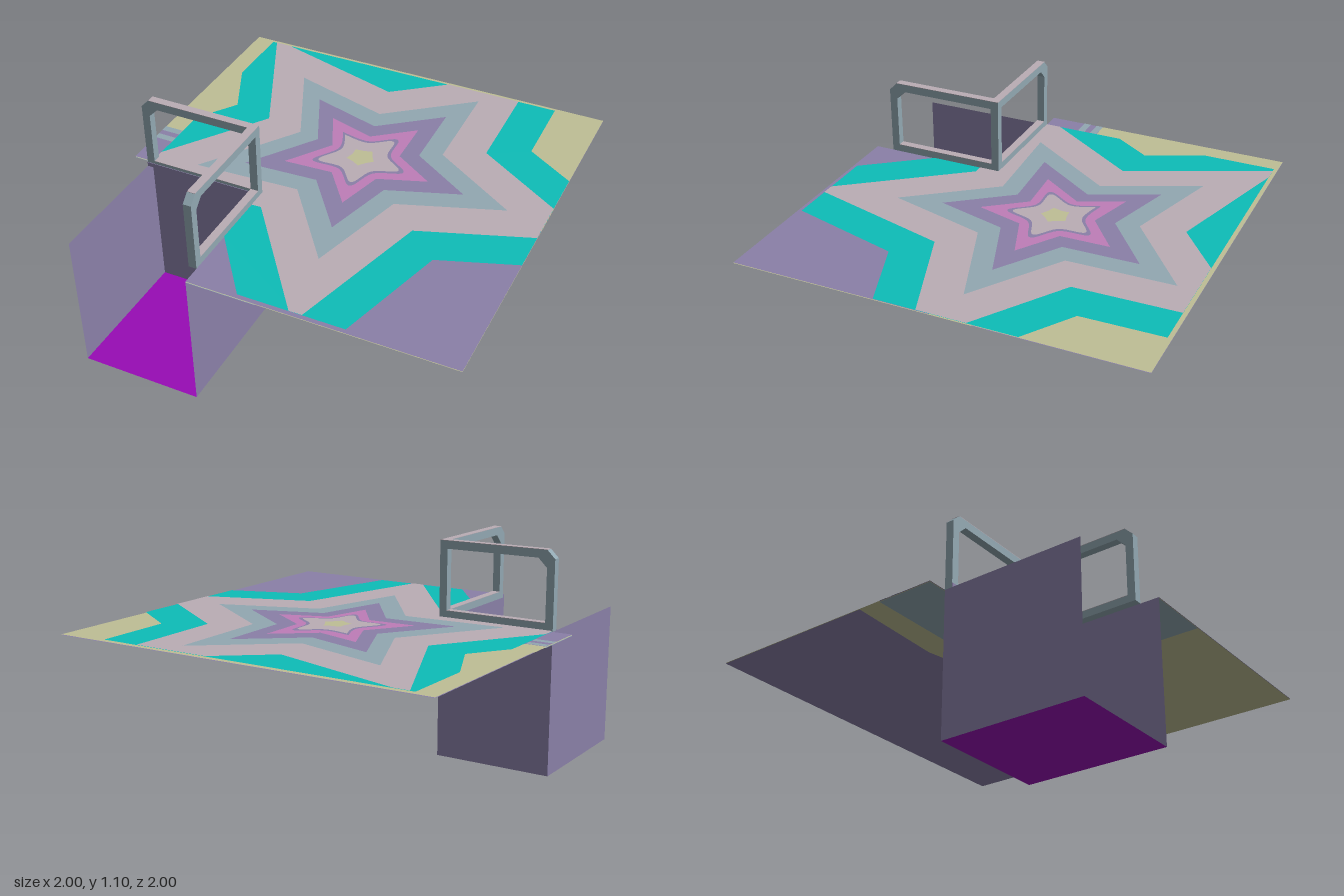
import * as THREE from 'three';

const mat = (name, color) => {
  const m = new THREE.MeshStandardMaterial({ color, side: THREE.DoubleSide });
  m.name = name;
  return m;
};

// Keeps the part of a convex polygon on the side of a line where sign * p[axis] <= limit
function clip(poly, axis, sign, limit) {
  const out = [];
  poly.forEach((p, i) => {
    const q = poly[(i + 1) % poly.length];
    const a = sign * p[axis] - limit, b = sign * q[axis] - limit;
    if (a <= 0) out.push(p);
    if (a * b < 0) out.push(p.clone().lerp(q, a / (a - b)));
  });
  return out;
}

export function createModel() {
  const root = new THREE.Group();
  root.name = 'floorWithStairwell';
  const olive = mat('olive', 0xbfbf95), purple = mat('purple', 0x8a80a8), teal = mat('greyTeal', 0x92a8b2);
  const pink = mat('dustyPink', 0xbaadb5), cyan = mat('cyan', 0x0dbdb8), orchid = mat('orchid', 0xbf7db8);
  const magenta = mat('magenta', 0x980bb5);

  const FLOOR = 0.715, STEP = 0.0015;       // floor height, gap between sheets
  const X0 = -0.9, X1 = -0.29, Z0 = 0.29;   // stairwell limits
  const RAIL = 0.04, H = 0.385;             // railing thickness and height

  const add = (name, geo, material) => {
    const m = new THREE.Mesh(geo, material);
    m.name = name;
    root.add(m);
    return m;
  };
  const box = (name, material, x0, x1, y0, y1, z0, z1) => {
    const g = new THREE.BoxGeometry(x1 - x0, y1 - y0, z1 - z0);
    g.translate((x0 + x1) / 2, (y0 + y1) / 2, (z0 + z1) / 2);
    add(name, g, material);
  };
  // Flat sheet of (x, -z) outlines; level counts sheets above the floor
  const flat = (name, material, level, outlines) => {
    const g = new THREE.ShapeGeometry(outlines.map(o => new THREE.Shape(o)));
    g.rotateX(-Math.PI / 2);
    g.translate(0, FLOOR + level * STEP, 0);
    add(name, g, material);
  };
  const sheet = (name, material, level, pts) =>
    flat(name, material, level, [pts.map(([x, z]) => new THREE.Vector2(x, -z))]);

  // Floor: two-tone top and underside, notched around the stairwell
  const front = [[-1, 0], [1, 0], [1, 1], [X1, 1], [X1, Z0], [-1, Z0]];
  const seam = [[1, -0.2], [0.5, -0.07], [0, -0.04], [-0.5, -0.14], [-1, -0.12]];
  sheet('floorBackTop', olive, 0, [[-1, -1], [1, -1], [1, 0], [-1, 0]]);
  sheet('floorFrontTop', purple, 0, front);
  sheet('floorBackUnderside', purple, -2, [[-1, -1], [1, -1], ...seam]);
  sheet('floorMiddleUnderside', olive, -2, [...seam, [-1, 0], [1, 0]]);
  sheet('floorFrontUnderside', olive, -2, front);
  sheet('cornerUnderside', teal, -4, [[-1, 0], [0.05, 0], [0.05, 1], [X1, 1], [X1, Z0], [-1, Z0]]);
  for (const z of [0, 0.07]) sheet('edgeStripe', teal, 1, [[-1, z], [X0, z], [X0, z + 0.037], [-1, z + 0.037]]);

  // Star rug: one uneven star at several scales, trimmed to the floor around the well
  const centre = new THREE.Vector2(0.02, 0.16);
  const tips = [[-0.59, -0.55], [0.34, -0.73], [0.79, 0.09], [0.15, 0.78], [-0.7, 0.39]];
  const notches = [[-0.08, -0.4], [0.35, -0.2], [0.29, 0.27], [-0.17, 0.36], [-0.375, -0.08]];
  const regions = [[X0, 1, -0.98, Z0], [X1, 1, Z0, 0.98]];
  const star = (name, material, level, scale, notchScale = 1, round = false) => {
    const at = ([x, z], s) => new THREE.Vector2(x, -z).multiplyScalar(s).add(centre);
    let rim = tips.flatMap((t, i) => [at(t, scale), at(notches[i], scale * notchScale)]);
    if (round) rim = new THREE.Path().moveTo(rim[0].x, rim[0].y).splineThru([...rim.slice(1), rim[0]]).getPoints(6).slice(0, -1);
    const pieces = [];
    rim.forEach((p, i) => {
      for (const [xa, xb, za, zb] of regions) {
        let poly = [centre, p, rim[(i + 1) % rim.length]];
        poly = clip(clip(poly, 'x', -1, -xa), 'x', 1, xb);
        poly = clip(clip(poly, 'y', 1, -za), 'y', -1, zb);
        if (poly.length > 2) pieces.push(poly);
      }
    });
    flat(name, material, level, pieces);
  };
  star('rugCyan', cyan, 2, 2.1);
  star('rugPink', pink, 3, 1.54);
  star('rugTeal', teal, 4, 1);
  star('rugPurple', purple, 5, 0.71);
  star('rugOrchid', orchid, 6, 0.47);
  star('rugRoundedPurple', purple, 7, 0.3, 1.2, true);
  star('rugRoundedPink', pink, 8, 0.265, 1.2, true);
  star('rugCentre', olive, 9, 0.09, 1.5);

  // Stairwell: bottom and three walls, open at the front and top
  const wall = (name, w, h, x, y, z, ry, rx, material) => {
    const m = add(name, new THREE.PlaneGeometry(w, h), material);
    m.position.set(x, y, z);
    m.rotation.set(rx, ry, 0);
  };
  const cx = (X0 + X1) / 2, cz = (Z0 + 1) / 2, w = X1 - X0, d = 1 - Z0;
  wall('wellBottom', w, d, cx, 0, cz, 0, -Math.PI / 2, magenta);
  wall('wellBackWall', w, FLOOR, cx, FLOOR / 2, Z0, 0, 0, purple);
  for (const x of [X0, X1]) wall('wellSideWall', d, FLOOR, x, FLOOR / 2, cz, Math.PI / 2, 0, purple);

  // Railing frame, bevelled at its free upper corner
  const frame = (name, L) => {
    const P = a => a.map(([x, y]) => new THREE.Vector2(x, y));
    const s = new THREE.Shape(P([[0, 0], [L, 0], [L, H - RAIL], [L - RAIL, H], [0, H]]));
    s.holes.push(new THREE.Path(P([[RAIL, 0.037], [RAIL, H - RAIL], [L - 0.085, H - RAIL],
      [L - RAIL, H - 0.085], [L - RAIL, 0.037]])));
    return add(name, new THREE.ExtrudeGeometry(s, { depth: RAIL, bevelEnabled: false }), teal);
  };
  const backRail = frame('backRailing', w);
  backRail.rotation.y = Math.PI;
  backRail.position.set(X1, FLOOR, Z0 + RAIL);
  const sideRail = frame('sideRailing', 0.615);
  sideRail.rotation.y = -Math.PI / 2;
  sideRail.position.set(X1, FLOOR, Z0);

  // Pale caps on the rails and a purple kick strip inside the well
  const top = FLOOR + H;
  box('backRailCap', pink, X0 + RAIL, X1, top, top + 0.002, Z0, Z0 + RAIL);
  box('sideRailCap', pink, X1 - RAIL, X1, top, top + 0.002, Z0 + RAIL, 0.865);
  box('backLowerCap', pink, X0 + RAIL, X1 - RAIL, 0.752, 0.754, Z0, Z0 + RAIL);
  box('sideLowerCap', pink, X1 - RAIL, X1, 0.752, 0.754, Z0 + RAIL, 0.865);
  box('kickStrip', purple, X0, X1 - RAIL, FLOOR, 0.737, Z0 + RAIL, Z0 + RAIL + 0.003);

  return root;
}
